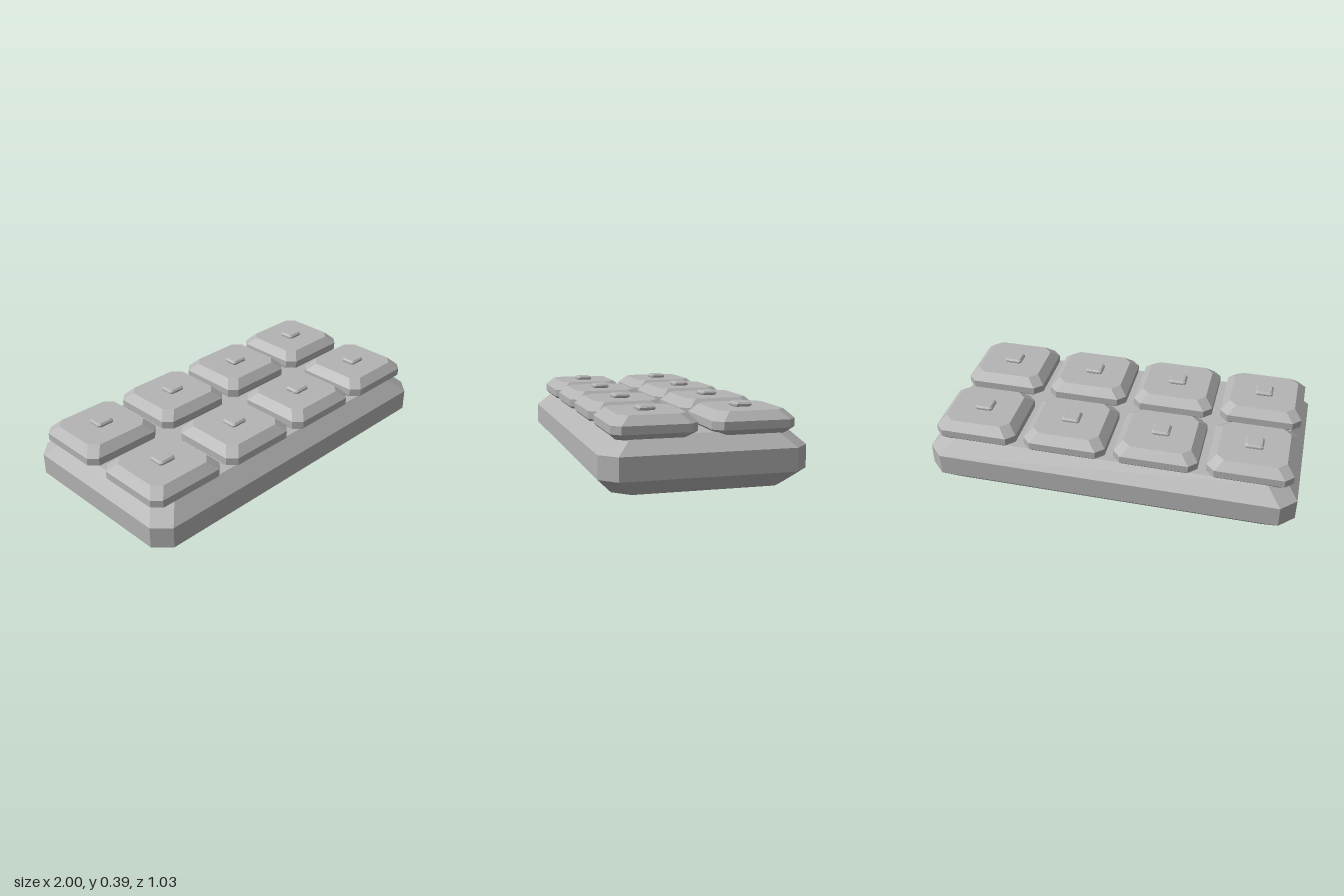
import * as THREE from 'three';
import { ConvexGeometry } from 'three/addons/geometries/ConvexGeometry.js';

// Block with every edge and corner chamfered: an octagonal outline, drawn in at top and bottom
function chamferedBlock(width, height, depth, c) {
  const points = [];
  const hx = width / 2, hz = depth / 2;
  for (const [y, inset] of [[0, c], [c, 0], [height - c, 0], [height, c]]) {
    const x = hx - inset, z = hz - inset;
    for (const sx of [-1, 1]) {
      for (const sz of [-1, 1]) {
        points.push(new THREE.Vector3(sx * x, y, sz * (z - c)));
        points.push(new THREE.Vector3(sx * (x - c), y, sz * z));
      }
    }
  }
  return new ConvexGeometry(points);
}

export function createModel() {
  const grey = new THREE.MeshStandardMaterial({ color: 0xb4b4b4, flatShading: true });
  grey.name = 'plain grey';

  const model = new THREE.Group();
  model.name = 'keypad';

  const add = (name, geometry, x, y, z, parent) => {
    const mesh = new THREE.Mesh(geometry, grey);
    mesh.name = name;
    mesh.position.set(x, y, z);
    parent.add(mesh);
  };

  // Body
  add('base', chamferedBlock(2, 0.275, 1.032, 0.08), 0, 0, 0, model);

  // Two rows of four keys, each with a small raised stud
  const capGeometry = chamferedBlock(0.448, 0.127, 0.42, 0.0435);
  const studGeometry = chamferedBlock(0.097, 0.027, 0.087, 0.009);
  for (let row = 0; row < 2; row++) {
    for (let column = 0; column < 4; column++) {
      const key = new THREE.Group();
      key.name = `key${row * 4 + column + 1}`;
      key.position.set(-0.745 + column * 0.494, 0, -0.243 + row * 0.489);
      add('keyCap', capGeometry, 0, 0.243, 0, key);
      add('keyStud', studGeometry, 0, 0.365, 0, key);
      model.add(key);
    }
  }
  return model;
}
